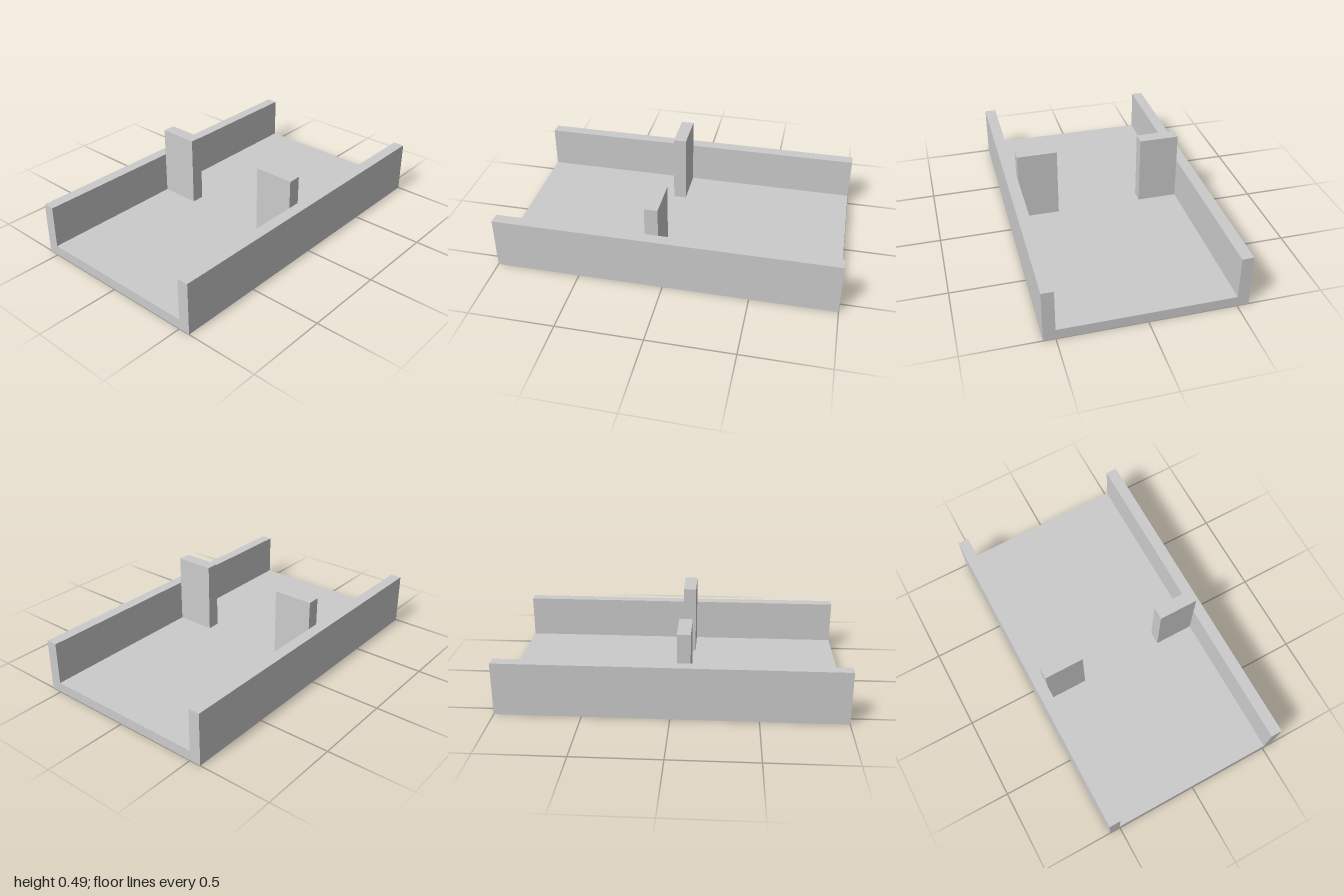
import * as THREE from 'three';

const LENGTH = 2, HALF_WIDTH = 0.568, INNER = 0.5, FLOOR = 0.06, WALL = 0.315;
const TAB = { inner: 0.26, top: 0.485, back: 0.035, front: 0.112 };

export function createModel() {
  const group = new THREE.Group();
  group.name = 'channelWithTabs';
  const material = new THREE.MeshStandardMaterial({ color: 0xcccccc, flatShading: true });

  // U-shaped channel: floor and both side walls in one section, open at the ends
  const section = new THREE.Shape([
    [-HALF_WIDTH, 0], [HALF_WIDTH, 0], [HALF_WIDTH, WALL], [INNER, WALL],
    [INNER, FLOOR], [-INNER, FLOOR], [-INNER, WALL], [-HALF_WIDTH, WALL],
  ].map(([x, y]) => new THREE.Vector2(x, y)));
  const channelGeometry = new THREE.ExtrudeGeometry(section, { depth: LENGTH, bevelEnabled: false });
  channelGeometry.translate(0, 0, -LENGTH / 2);
  const channel = new THREE.Mesh(channelGeometry, material);
  channel.name = 'channel';
  group.add(channel);

  // Upright tabs standing on the floor against each wall
  const tabGeometry = new THREE.BoxGeometry(INNER - TAB.inner, TAB.top - FLOOR, TAB.front - TAB.back);
  for (const side of [1, -1]) {
    const tab = new THREE.Mesh(tabGeometry, material);
    tab.name = side > 0 ? 'leftTab' : 'rightTab';
    tab.position.set(side * (INNER + TAB.inner) / 2, (TAB.top + FLOOR) / 2, (TAB.front + TAB.back) / 2);
    group.add(tab);
  }
  return group;
}
